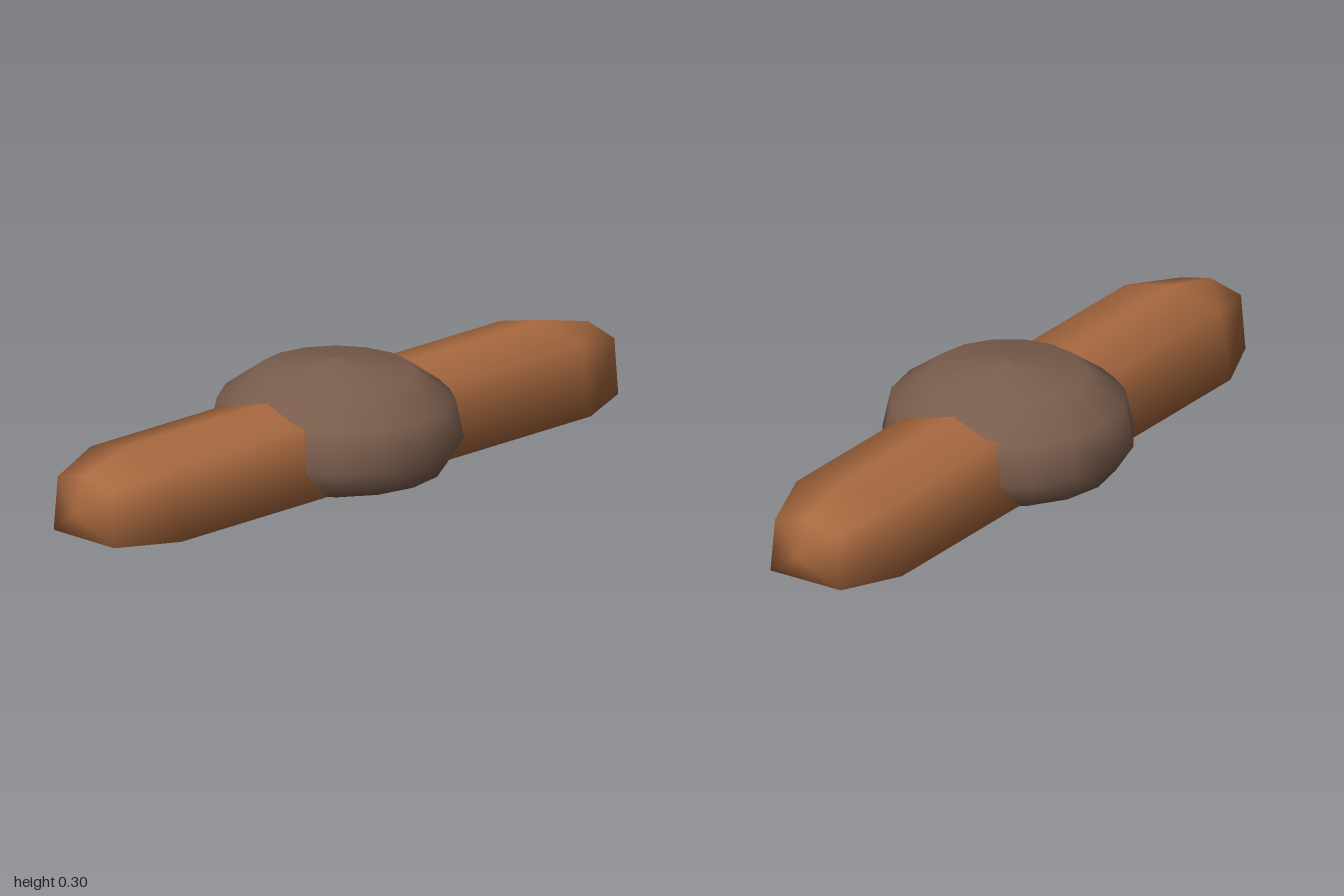
import * as THREE from 'three';

const clay = new THREE.MeshStandardMaterial({ color: 0xaa6a40 });
clay.name = 'orange brown';
const umber = new THREE.MeshStandardMaterial({ color: 0x7a5d4d });
umber.name = 'dull brown';

// Smooth five-sided bar: cross-sections along x, closed by a point at each end
function barGeometry() {
  const full = [[0, 0.23], [0.154, 0.192], [0.19, 0], [-0.19, 0], [-0.154, 0.192]];
  const small = [[0, 0.185], [0.1, 0.16], [0.115, 0.006], [-0.115, 0.006], [-0.1, 0.16]];
  const rings = [[-0.96, small], [-0.78, full], [0.78, full], [0.96, small]];
  const n = full.length;
  const positions = [];
  const index = [];
  for (const [x, section] of rings) {
    for (const [z, y] of section) positions.push(x, y, z);
  }
  const leftTip = positions.length / 3;
  positions.push(-1, 0.085, 0, 1, 0.085, 0);
  const last = (rings.length - 1) * n;
  for (let j = 0; j < n; j++) {
    const k = (j + 1) % n;
    for (let i = 0; i < last; i += n) {
      const a = i + j, b = i + n + j, c = i + k, d = i + n + k;
      index.push(a, c, b, b, c, d);
    }
    index.push(leftTip, k, j, leftTip + 1, last + j, last + k);
  }
  const geometry = new THREE.BufferGeometry();
  geometry.setAttribute('position', new THREE.Float32BufferAttribute(positions, 3));
  geometry.setIndex(index);
  geometry.computeVertexNormals();
  return geometry;
}

// Low round dome, turned from a profile that runs from the underside to the top
function domeGeometry() {
  const profile = [[0, 0.004], [0.295, 0], [0.345, 0.076], [0.321, 0.188], [0.211, 0.267], [0, 0.3]];
  return new THREE.LatheGeometry(profile.map(([r, y]) => new THREE.Vector2(r, y)), 16);
}

export function createModel() {
  const model = new THREE.Group();
  model.name = 'domedBar';

  const bar = new THREE.Mesh(barGeometry(), clay);
  bar.name = 'bar';

  const dome = new THREE.Mesh(domeGeometry(), umber);
  dome.name = 'centreDome';

  model.add(bar, dome);
  return model;
}
